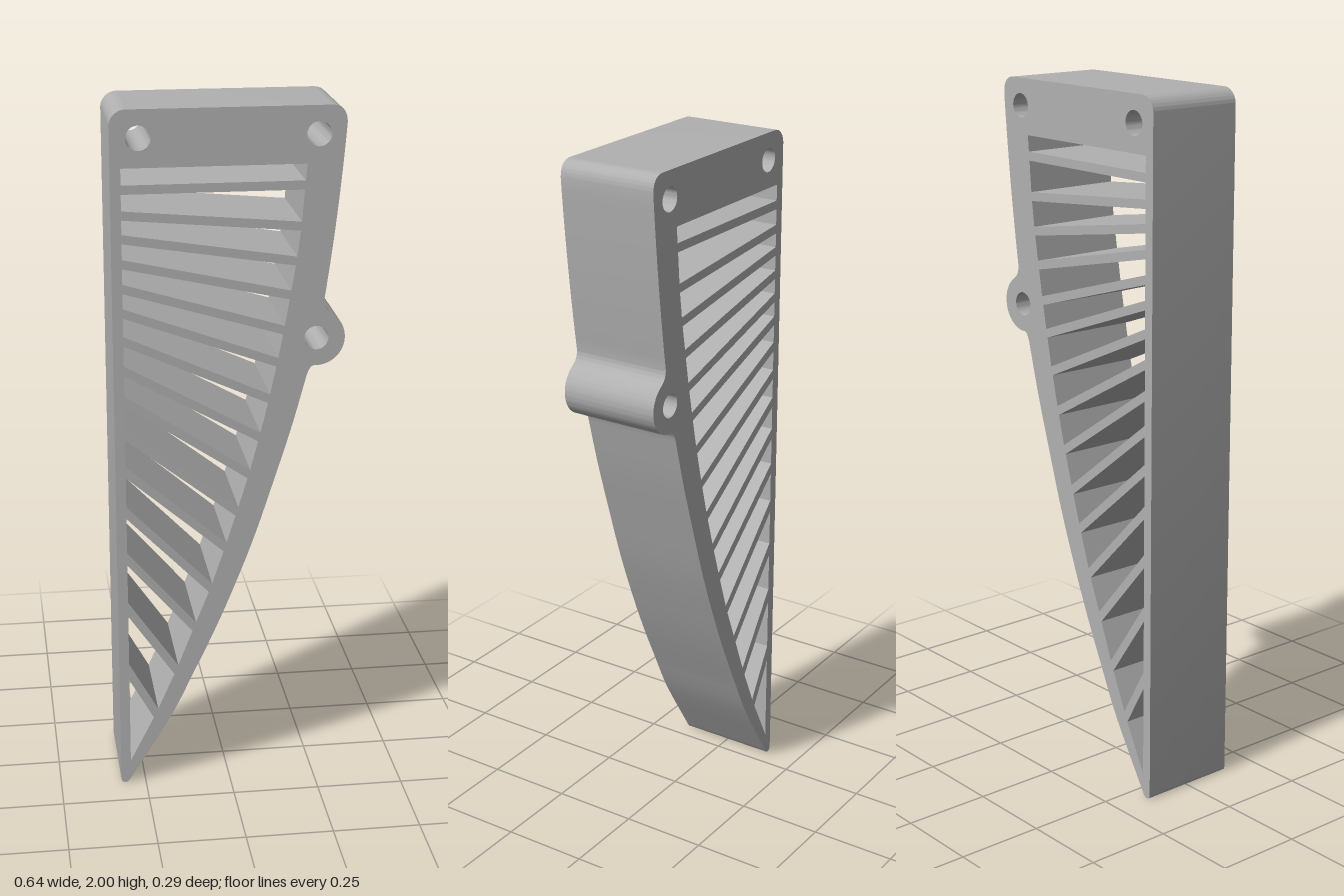
import * as THREE from 'three';
import { toCreasedNormals } from 'three/addons/utils/BufferGeometryUtils.js';

const DEPTH = 0.292;
const LEFT = -0.323;      // outer straight side
const INNER_LEFT = -0.294; // inner face of the straight side
const SLAT = 0.025;       // slat thickness

// Inner face of the curved side, [x, y] from the bottom up
const innerWall = [
  [-0.294, 0.07], [-0.217, 0.222], [-0.156, 0.36], [-0.103, 0.495], [-0.055, 0.615],
  [-0.013, 0.74], [0.021, 0.848], [0.055, 0.96], [0.084, 1.07], [0.111, 1.182],
  [0.133, 1.288], [0.151, 1.38], [0.168, 1.48], [0.184, 1.575], [0.196, 1.67], [0.21, 1.845],
];

// Slat centre heights: [at the straight side, at the curved side]
const slats = [
  [1.785, 1.785], [1.715, 1.672], [1.65, 1.575], [1.581, 1.48], [1.512, 1.38],
  [1.443, 1.288], [1.364, 1.182], [1.279, 1.07], [1.192, 0.96], [1.093, 0.848],
  [0.981, 0.74], [0.859, 0.615], [0.717, 0.495], [0.56, 0.36], [0.36, 0.222],
];

function innerX(y) {
  let i = 1;
  while (i < innerWall.length - 1 && innerWall[i][1] < y) i++;
  const [x0, y0] = innerWall[i - 1], [x1, y1] = innerWall[i];
  return x0 + (x1 - x0) * (y - y0) / (y1 - y0);
}

// Left and right ends of one slat edge; side is +1 for the top, -1 for the bottom
function slatEdge([yl, yr], side) {
  const slope = (yr - yl) / (innerX(yr) - INNER_LEFT);
  const y0 = yl + side * SLAT / 2 * Math.hypot(1, slope);
  const yAt = (x) => y0 + slope * (x - INNER_LEFT);
  let a = INNER_LEFT, b = 0.3;
  for (let i = 0; i < 40; i++) {
    const m = (a + b) / 2;
    if (m < innerX(yAt(m))) a = m; else b = m;
  }
  return [new THREE.Vector2(INNER_LEFT, y0), new THREE.Vector2(a, yAt(a))];
}

function outline() {
  const s = new THREE.Shape();
  s.moveTo(LEFT, 0.015);
  s.quadraticCurveTo(LEFT, 0, -0.31, 0);
  s.quadraticCurveTo(-0.302, 0, -0.296, 0.01);
  // curved side
  s.splineThru([
    [-0.176, 0.205], [-0.107, 0.345], [-0.045, 0.477], [0.01, 0.607], [0.07, 0.765],
    [0.127, 0.94], [0.175, 1.095], [0.213, 1.235],
  ].map(([x, y]) => new THREE.Vector2(x, y)));
  // side lug with fillets
  s.quadraticCurveTo(0.222, 1.272, 0.235, 1.275);
  s.absarc(0.242, 1.355, 0.08, -1.66, 0.96, false);
  s.quadraticCurveTo(0.259, 1.438, 0.263, 1.468);
  s.quadraticCurveTo(0.298, 1.7, 0.317, 1.95);
  // rounded top corners
  s.quadraticCurveTo(0.318, 2, 0.272, 2);
  s.lineTo(LEFT + 0.045, 2);
  s.absarc(LEFT + 0.045, 1.955, 0.045, Math.PI / 2, Math.PI, false);
  s.closePath();
  return s;
}

export function createModel() {
  const grey = new THREE.MeshStandardMaterial({ color: 0xb0b0b0 });
  grey.name = 'grey';
  const shape = outline();

  // screw holes
  for (const [x, y] of [[-0.246, 1.923], [0.242, 1.923], [0.242, 1.355]]) {
    const hole = new THREE.Path();
    hole.absarc(x, y, 0.034, 0, Math.PI * 2, true);
    shape.holes.push(hole);
  }

  // openings between the slats
  let upper = [new THREE.Vector2(INNER_LEFT, 1.843), new THREE.Vector2(0.21, 1.843)];
  for (const slat of slats) {
    const lower = slatEdge(slat, 1);
    shape.holes.push(new THREE.Path([upper[0], upper[1], lower[1], lower[0]]));
    upper = slatEdge(slat, -1);
  }
  shape.holes.push(new THREE.Path([upper[0], upper[1], new THREE.Vector2(...innerWall[0])]));

  const extruded = new THREE.ExtrudeGeometry(shape, { depth: DEPTH, bevelEnabled: false, curveSegments: 16 });
  extruded.translate(0, 0, -DEPTH / 2);
  const body = new THREE.Mesh(toCreasedNormals(extruded, 0.5), grey);
  body.name = 'slattedBracket';

  const model = new THREE.Group();
  model.name = 'ventBracket';
  model.add(body);
  return model;
}
